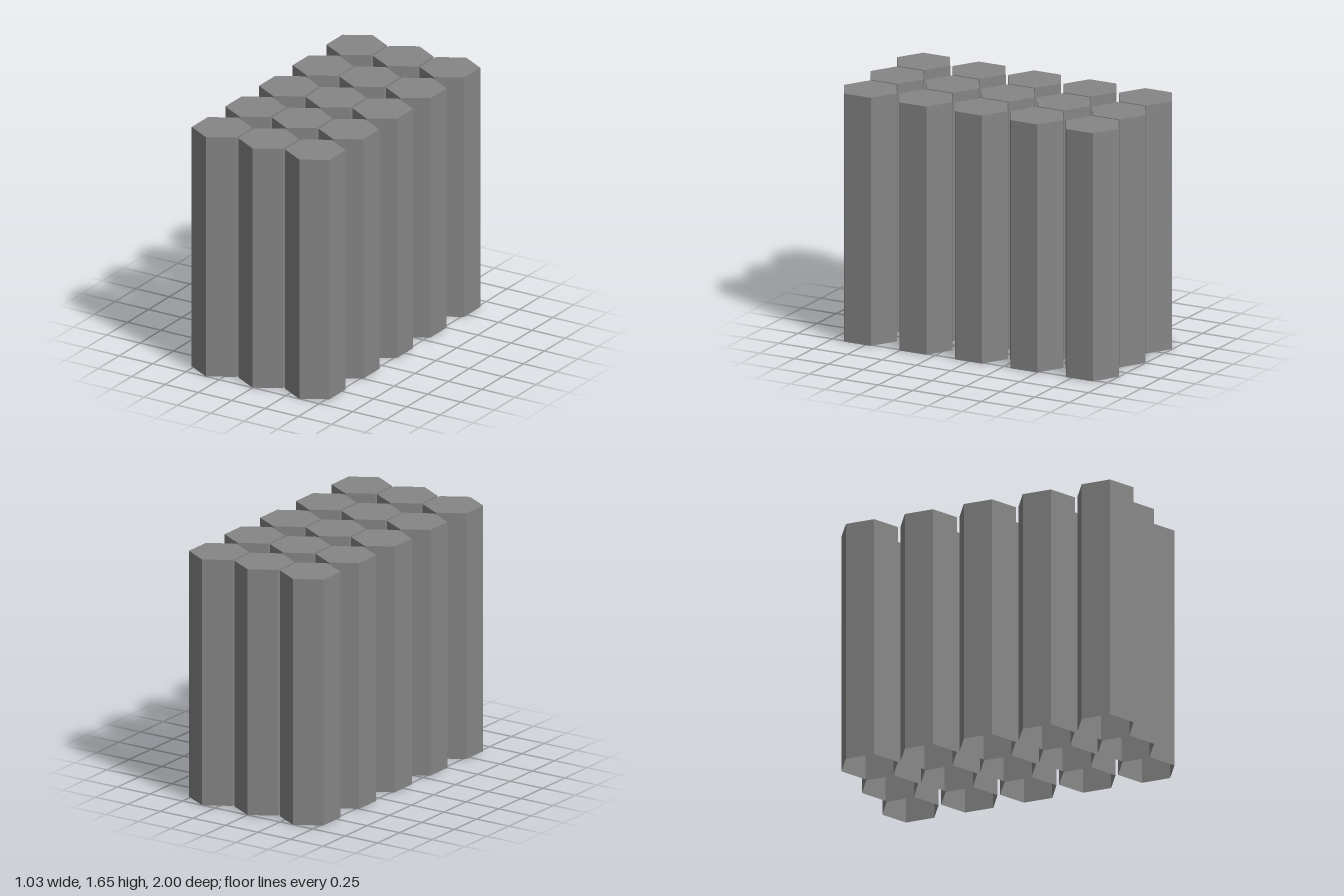
import * as THREE from 'three';
import { mergeGeometries } from 'three/addons/utils/BufferGeometryUtils.js';

const RADIUS = 0.193, HEIGHT = 1.647;
const COLUMNS = 3, ROWS = 5;
const PITCH_X = 0.35, PITCH_Z = 0.4035;

// Six-sided tube with its corners towards +z and -z, closed on top, open below
function hexColumnGeometry() {
  const walls = new THREE.CylinderGeometry(RADIUS, RADIUS, HEIGHT, 6, 1, true);
  walls.translate(0, HEIGHT / 2, 0);
  const lid = new THREE.CircleGeometry(RADIUS, 6, Math.PI / 2);
  lid.rotateX(-Math.PI / 2);
  lid.translate(0, HEIGHT, 0);
  return mergeGeometries([walls, lid]);
}

export function createModel() {
  const model = new THREE.Group();
  model.name = 'hexColumns';
  // Dark grey
  const material = new THREE.MeshStandardMaterial({
    color: 0x868686, flatShading: true, side: THREE.DoubleSide,
  });
  const geometry = hexColumnGeometry();

  // Rows from back to front, each with columns side by side
  for (let r = 0; r < ROWS; r++) {
    const row = new THREE.Group();
    row.name = `row${r + 1}`;
    row.position.z = (r - (ROWS - 1) / 2) * PITCH_Z;
    for (let c = 0; c < COLUMNS; c++) {
      const column = new THREE.Mesh(geometry, material);
      column.name = `hexColumn${c + 1}`;
      column.position.x = (c - (COLUMNS - 1) / 2) * PITCH_X;
      row.add(column);
    }
    model.add(row);
  }
  return model;
}
